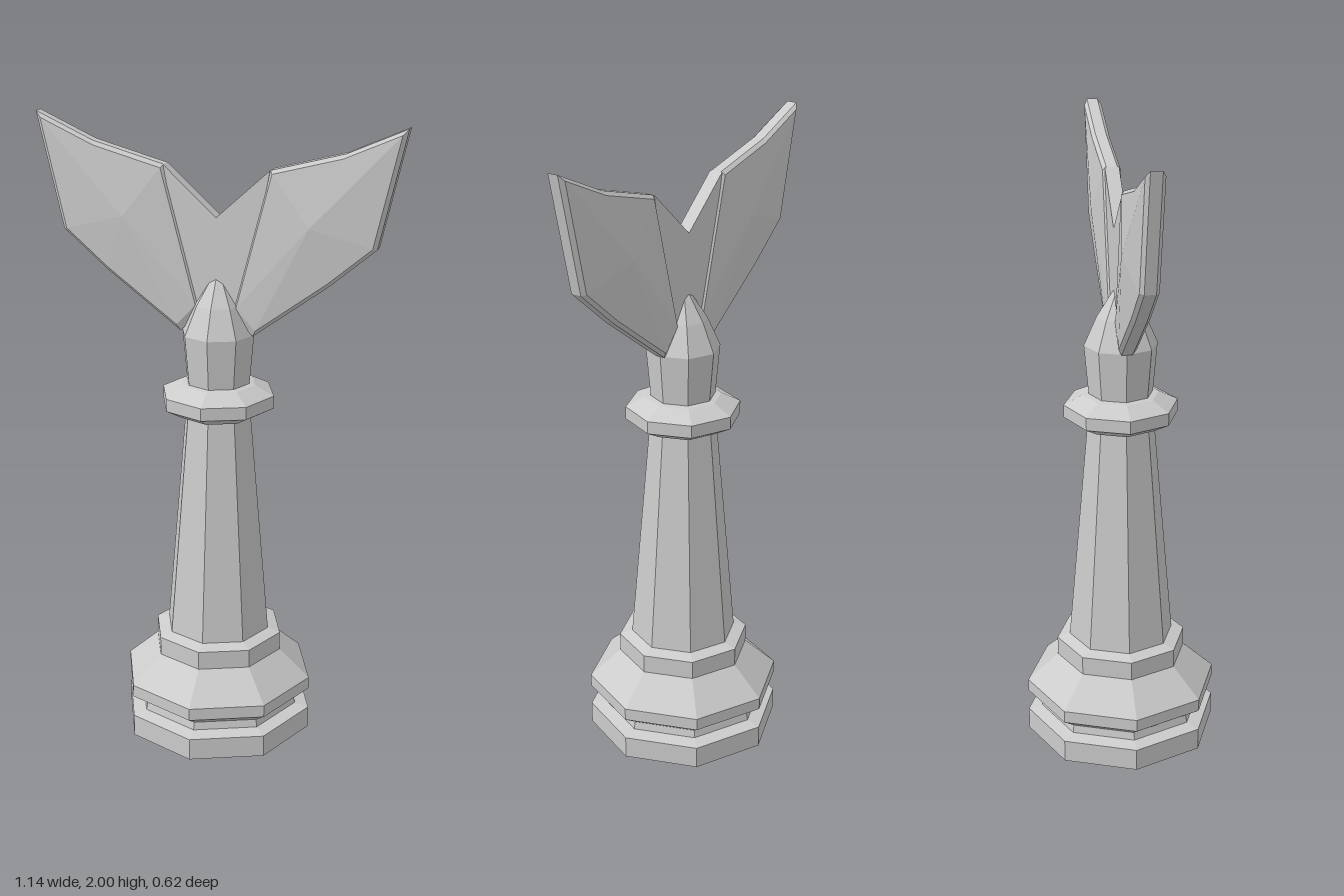
import * as THREE from 'three';

const material = new THREE.MeshStandardMaterial({ color: 0xcccccc, flatShading: true });

// Octagonal turned part from [radius, height] pairs, bottom to top
function turned(name, profile) {
  const points = profile.map(([r, y]) => new THREE.Vector2(r, y));
  const mesh = new THREE.Mesh(new THREE.LatheGeometry(points, 8), material);
  mesh.name = name;
  return mesh;
}

// Fluke plate: thin rim, bevelled shoulder and a raised middle on both faces
function flukeGeometry() {
  const outline = [ // counter-clockwise
    [0.05, 1.42], [0.115, 1.35], [0.35, 1.525], [0.49, 1.645],
    [0.57, 2.0], [0.39, 1.92], [0.165, 1.86],
  ];
  const hub = [0.29, 1.70];
  const ring = (scale, z) => outline.map(([x, y]) =>
    [hub[0] + (x - hub[0]) * scale, hub[1] + (y - hub[1]) * scale, z]);
  const loops = [
    ring(0, -0.047), ring(0.94, -0.028), ring(1, -0.017),
    ring(1, 0.017), ring(0.94, 0.028), ring(0, 0.047),
  ];
  const positions = [];
  const n = outline.length;
  for (let k = 0; k < loops.length - 1; k++) {
    for (let i = 0; i < n; i++) {
      const j = (i + 1) % n;
      const [a, b, c, d] = [loops[k][i], loops[k][j], loops[k + 1][j], loops[k + 1][i]];
      if (k > 0) positions.push(...a, ...b, ...d);
      if (k < loops.length - 2) positions.push(...b, ...c, ...d);
      if (k === 0) positions.splice(positions.length - 9, 9, ...a, ...c, ...d);
    }
  }
  const geometry = new THREE.BufferGeometry();
  geometry.setAttribute('position', new THREE.Float32BufferAttribute(positions, 3));
  geometry.computeVertexNormals();
  return geometry;
}

export function createModel() {
  const model = new THREE.Group();
  model.name = 'fishTailChessPiece';

  // Pedestal, from the foot up to the stepped ring
  model.add(turned('base', [
    [0, 0], [0.31, 0.018], [0.31, 0.09], [0.265, 0.1], [0.26, 0.125],
    [0.31, 0.16], [0.31, 0.2], [0.21, 0.29], [0.21, 0.35], [0.17, 0.362], [0, 0.362],
  ]));
  model.add(turned('column', [[0.17, 0.355], [0.105, 1.1]]));
  model.add(turned('collar', [
    [0.09, 1.085], [0.125, 1.09], [0.18, 1.12], [0.18, 1.16], [0.12, 1.19], [0.09, 1.195],
  ]));
  model.add(turned('neck', [[0.1, 1.18], [0.115, 1.35], [0.075, 1.44], [0.03, 1.51], [0, 1.55]]));

  // Tail: two flukes joined by a thin web
  const tail = new THREE.Group();
  tail.name = 'tail';
  const geometry = flukeGeometry();
  for (const side of ['left', 'right']) {
    const fluke = new THREE.Mesh(geometry, material);
    fluke.name = side + 'Fluke';
    if (side === 'right') fluke.rotation.y = Math.PI;
    tail.add(fluke);
  }
  const webShape = new THREE.Shape([
    [0, 1.71], [-0.165, 1.86], [-0.08, 1.4], [0.08, 1.4], [0.165, 1.86],
  ].map(([x, y]) => new THREE.Vector2(x, y)));
  const web = new THREE.Mesh(
    new THREE.ExtrudeGeometry(webShape, { depth: 0.044, bevelEnabled: false }), material);
  web.position.z = -0.022;
  web.name = 'tailWeb';
  tail.add(web);
  model.add(tail);

  return model;
}
